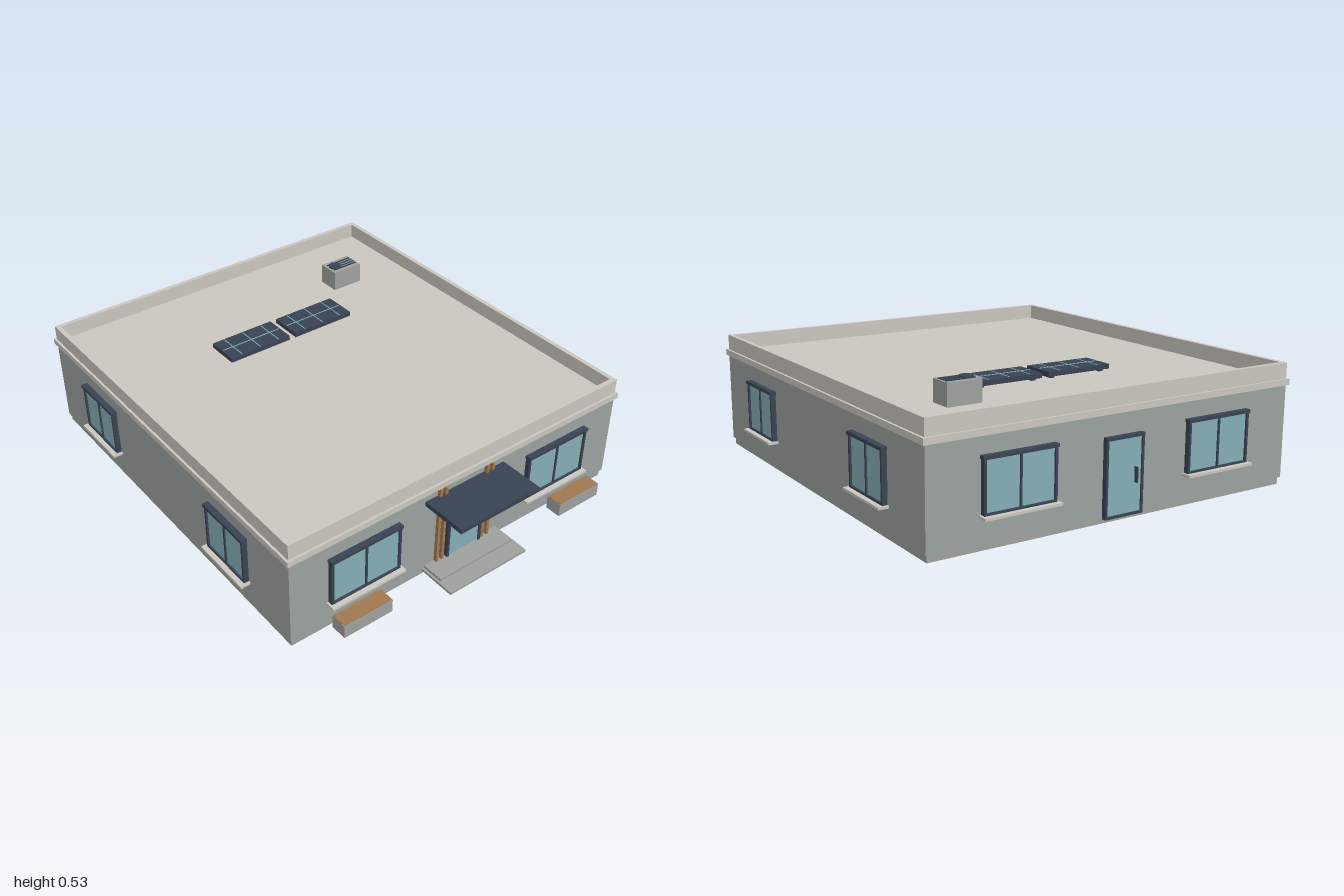
import * as THREE from 'three';

const paint = (name, color) => {
  const m = new THREE.MeshStandardMaterial({ color });
  m.name = name;
  return m;
};

export function createModel() {
  const house = new THREE.Group();
  house.name = 'house';
  const wall = paint('wall grey', 0x9aa19f);
  const concrete = paint('concrete grey', 0x9da09d);
  const stone = paint('pale stone', 0xc9c6be);
  const dark = paint('dark slate', 0x394352);
  const glass = paint('glass blue', 0x84adb4);
  const wood = paint('wood brown', 0xa07850);

  // Box given by its limits on each axis
  const box = (parent, name, mat, [x0, x1], [y0, y1], [z0, z1]) => {
    const mesh = new THREE.Mesh(new THREE.BoxGeometry(x1 - x0, y1 - y0, z1 - z0), mat);
    mesh.position.set((x0 + x1) / 2, (y0 + y1) / 2, (z0 + z1) / 2);
    mesh.name = name;
    parent.add(mesh);
    return mesh;
  };
  const place = (name, x, z, turn) => {
    const g = new THREE.Group();
    g.name = name;
    g.position.set(x, 0, z);
    g.rotation.y = turn;
    house.add(g);
    return g;
  };

  // Main body
  const X = 0.82, ZF = 0.803, ZB = -0.955;
  box(house, 'plinth', concrete, [-0.812, 0.812], [0, 0.03], [ZB + 0.008, ZF - 0.008]);
  box(house, 'walls', wall, [-X, X], [0.03, 0.41], [ZB, ZF]);
  box(house, 'roofSlab', stone, [-0.83, 0.83], [0.41, 0.435], [ZB - 0.01, ZF + 0.01]);

  // Parapet ring
  const t = 0.02;
  for (const s of [-1, 1]) {
    const xs = [s * X, s * (X - t)].sort((a, b) => a - b);
    box(house, 'parapetSide', stone, xs, [0.435, 0.5], [ZB, ZF]);
  }
  box(house, 'parapetFront', stone, [-X + t, X - t], [0.435, 0.5], [ZF - t, ZF]);
  box(house, 'parapetBack', stone, [-X + t, X - t], [0.435, 0.5], [ZB, ZB + t]);

  // Window facing local +z, with the wall face at z = 0
  const addWindow = (x, z, turn, w) => {
    const g = place('window', x, z, turn), h = w / 2, f = 0.01;
    box(g, 'glass', glass, [-h + f, h - f], [0.14, 0.33], [0, 0.014]);
    for (const s of [-1, 1]) {
      const c = s * (h - f / 2);
      box(g, 'frameSide', dark, [c - f / 2, c + f / 2], [0.132, 0.335], [0, 0.022]);
    }
    box(g, 'frameBottom', dark, [-h + f, h - f], [0.132, 0.14], [0, 0.022]);
    box(g, 'mullion', dark, [-0.004, 0.004], [0.14, 0.33], [0, 0.02]);
    box(g, 'lintel', dark, [-h - 0.004, h + 0.004], [0.33, 0.343], [0, 0.026]);
    box(g, 'sill', stone, [-h - 0.01, h + 0.01], [0.122, 0.132], [0, 0.043]);
  };
  for (const s of [-1, 1]) {
    addWindow(s * 0.488, ZF, 0, 0.322);
    addWindow(s * 0.453, ZB, Math.PI, 0.302);
    for (const z of [0.411, -0.565]) addWindow(s * X, z, s * Math.PI / 2, 0.257);
  }

  // Doors, front and back
  for (const [z, turn] of [[ZF, 0], [ZB, Math.PI]]) {
    const g = place('door', 0, z, turn);
    box(g, 'doorPanel', glass, [-0.077, 0.077], [0.03, 0.315], [0, 0.014]);
    for (const s of [-1, 1]) {
      box(g, 'doorFrameSide', dark, [s * 0.082 - 0.005, s * 0.082 + 0.005], [0.02, 0.315], [0, 0.02]);
    }
    box(g, 'doorFrameTop', dark, [-0.087, 0.087], [0.315, 0.327], [0, 0.022]);
    box(g, 'doorThreshold', dark, [-0.077, 0.077], [0.02, 0.03], [0, 0.02]);
    box(g, 'doorHandle', dark, [0.048, 0.053], [0.142, 0.202], [0.014, 0.03]);
  }

  // Entrance: canopy, wooden slats and steps
  box(house, 'canopy', dark, [-0.198, 0.198], [0.355, 0.375], [ZF, 1]);
  for (const x of [-0.133, -0.106, 0.104, 0.131]) {
    box(house, 'slat', wood, [x - 0.006, x + 0.006], [0.04, 0.408], [ZF, ZF + 0.015]);
  }
  box(house, 'lowerStep', concrete, [-0.198, 0.198], [0.025, 0.036], [ZF, 0.97]);
  box(house, 'upperStep', concrete, [-0.188, 0.188], [0.036, 0.047], [ZF, 0.9]);

  // Planters
  for (const s of [-1, 1]) {
    const g = place('planter', s * 0.55, 0.88, 0);
    box(g, 'planterBox', concrete, [-0.112, 0.112], [0.045, 0.103], [-0.035, 0.035]);
    box(g, 'planterTop', wood, [-0.11, 0.11], [0.103, 0.106], [-0.033, 0.033]);
  }

  // Solar panels with grid lines
  for (const x of [-0.168, 0.164]) {
    const g = place('solarPanel', x, -0.394, 0);
    box(g, 'panel', dark, [-0.15, 0.15], [0.445, 0.465], [-0.075, 0.075]);
    for (const d of [-0.095, 0, 0.095]) {
      box(g, 'panelLine', glass, [d - 0.002, d + 0.002], [0.465, 0.467], [-0.07, 0.07]);
    }
    box(g, 'panelCrossLine', glass, [-0.145, 0.145], [0.465, 0.467], [-0.002, 0.002]);
    for (const s of [-1, 1]) {
      box(g, 'panelFoot', dark, [s * 0.12 - 0.01, s * 0.12 + 0.01], [0.435, 0.445], [-0.06, 0.06]);
    }
  }

  // Rooftop air unit
  const unit = place('airUnit', 0.482, -0.605, 0);
  box(unit, 'unitCase', concrete, [-0.074, 0.074], [0.435, 0.525], [-0.05, 0.05]);
  const fan = new THREE.Mesh(new THREE.CylinderGeometry(0.028, 0.028, 0.008, 20), dark);
  fan.position.set(-0.036, 0.529, 0);
  fan.name = 'fan';
  unit.add(fan);
  for (const z of [-0.026, -0.009, 0.009, 0.026]) {
    box(unit, 'vent', dark, [-0.06, 0.066], [0.525, 0.529], [z - 0.003, z + 0.003]);
  }
  return house;
}
